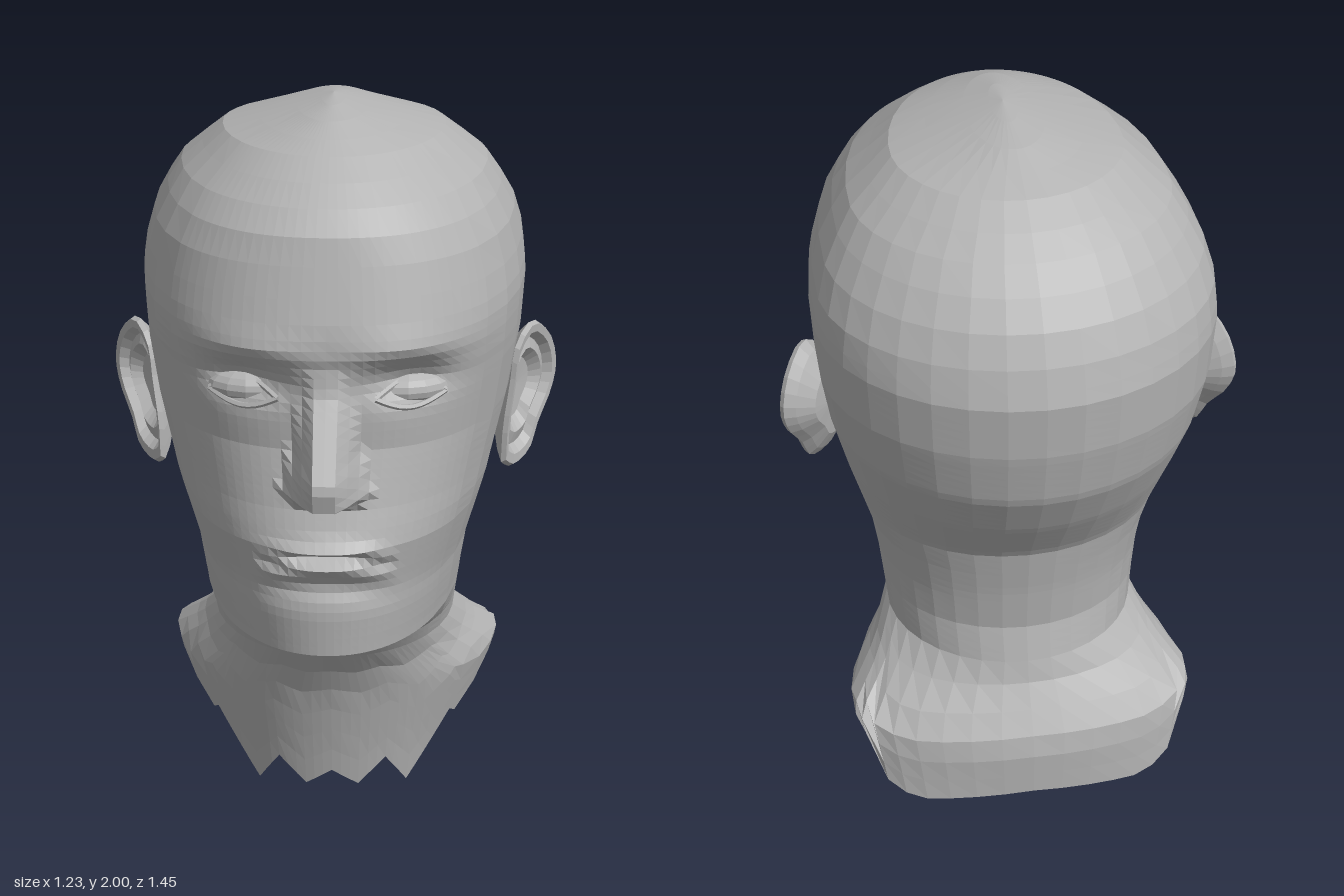
import * as THREE from 'three';

// Piecewise-linear profile over [key, value] pairs in ascending order of key
const profile = (...pts) => (k) => {
  if (k <= pts[0][0]) return pts[0][1];
  for (let i = 1; i < pts.length; i++) {
    const [k0, v0] = pts[i - 1], [k1, v1] = pts[i];
    if (k <= k1) return v0 + ((v1 - v0) * (k - k0)) / (k1 - k0);
  }
  return pts[pts.length - 1][1];
};

// Head silhouettes as functions of height
const front = profile([0, 0.1], [0.15, 0.127], [0.335, 0.17], [0.44, 0.22], [0.55, 0.32], [0.6, 0.45], [0.65, 0.59],
  [0.76, 0.597], [0.83, 0.592], [0.95, 0.605], [1.05, 0.57], [1.2, 0.53], [1.36, 0.535], [1.45, 0.555], [1.52, 0.55],
  [1.77, 0.475], [1.87, 0.355], [1.93, 0.26], [1.97, 0.16], [1.99, 0.06], [2, -0.05]);
const back = profile([0.1, -0.58], [0.285, -0.585], [0.44, -0.49], [0.6, -0.45], [0.735, -0.465], [0.88, -0.49],
  [1.04, -0.6], [1.185, -0.68], [1.345, -0.715], [1.5, -0.725], [1.65, -0.68], [1.775, -0.585], [1.9, -0.43],
  [1.97, -0.255], [1.99, -0.15], [2, -0.05]);
const width = profile([0, 0.41], [0.15, 0.44], [0.335, 0.475], [0.42, 0.39], [0.5, 0.34], [0.68, 0.36], [0.8, 0.38],
  [1, 0.44], [1.2, 0.49], [1.35, 0.515], [1.5, 0.525], [1.58, 0.52], [1.7, 0.485], [1.81, 0.415], [1.91, 0.3],
  [1.97, 0.1], [2, 0]);
const widestZ = profile([0.1, -0.45], [0.335, -0.38], [0.5, -0.14], [0.7, -0.12], [1, -0.15], [1.35, -0.24],
  [1.6, -0.25], [1.85, -0.15], [2, -0.05]);
const fullness = profile([0.5, 2], [0.7, 2.1], [1.1, 2.3], [1.4, 2.5], [1.7, 2.4], [1.9, 2]);

// Nose ridge depth and half width by height
const noseZ = profile([1.05, 0.57], [1.075, 0.635], [1.1, 0.715], [1.165, 0.73], [1.355, 0.56], [1.42, 0.55]);
const noseW = profile([1.05, 0.1], [1.1, 0.12], [1.2, 0.09], [1.32, 0.068], [1.42, 0.07]);

// Ragged lower edge of the neck by angle from the front
const cut = profile([0, 0.07], [0.18, 0.02], [0.36, 0.1], [0.54, 0], [0.84, 0.19], [0.95, 0.16], [1.2, 0.29],
  [1.8, 0.32], [1.95, 0.16], [2.3, 0.1], [3.15, 0.12]);

const bump = (d, s) => Math.exp(-((d / s) ** 2));

// Relief of the face added to the plain skull
function faceRelief(x, y) {
  const ax = Math.abs(x);
  let d = 0;
  if (y > 1.05 && y < 1.42) {
    const w = noseW(y);
    d += Math.max(0, noseZ(y) - front(y)) * THREE.MathUtils.clamp((w - ax) / (w - 0.035), 0, 1);
  }
  d -= 0.06 * bump(ax - 0.21, 0.1) * bump(y - 1.38, 0.05);
  d += 0.015 * bump(ax - 0.2, 0.14) * bump(y - 1.475, 0.03);
  const lip = Math.max(0, 1 - (x / 0.19) ** 2), m = y + 0.9 * x * x;
  d += lip * (0.022 * bump(m - 0.953, 0.018) - 0.03 * bump(m - 0.925, 0.012)
    + 0.02 * bump(m - 0.897, 0.018) - 0.016 * bump(m - 0.84, 0.03));
  return d;
}

// Depth of the front surface at a given x and y
function frontZ(x, y) {
  const s = Math.min(1, Math.abs(x) / Math.max(width(y), 1e-6));
  const n = fullness(y), c = widestZ(y);
  return c + (front(y) - c) * (1 - s ** n) ** (1 / n) + faceRelief(x, y);
}

function headPoint(phi, y) {
  const a = Math.abs(phi), x = width(y) * Math.sin(phi);
  if (a < Math.PI / 2) return [x, y, frontZ(x, y)];
  const c = widestZ(y);
  return [x, y, c + (c - back(y)) * Math.cos(a)];
}

// Skin a list of closed rings that have equal point counts
function skin(rings) {
  const n = rings[0].length, index = [];
  for (let i = 0; i < rings.length - 1; i++) {
    for (let j = 0; j < n; j++) {
      const k = (j + 1) % n, a = i * n, b = a + n;
      index.push(a + j, b + j, b + k, a + j, b + k, a + k);
    }
  }
  const g = new THREE.BufferGeometry();
  g.setAttribute('position', new THREE.Float32BufferAttribute(rings.flat(2), 3));
  g.setIndex(index);
  g.computeVertexNormals();
  return g;
}

function headGeometry() {
  // Fine columns over the face, coarse ones around the back
  const half = [];
  for (let i = 0; i <= 15; i++) half.push(i * 0.06);
  for (let i = 1; i <= 12; i++) half.push(0.9 + ((Math.PI - 0.9) * i) / 12);
  const phis = [...half, ...half.slice(1, -1).reverse().map((p) => -p)];
  const rows = [2, 1.99, 1.97, 1.94, 1.91, 1.86, 1.81, 1.75, 1.68, 1.6, 1.54];
  for (let i = 0; i <= 40; i++) rows.push(1.5 - i * 0.025);
  const rings = rows.map((y) => phis.map((p) => headPoint(p, y)));
  // Neck rows spread down to the ragged edge
  for (let i = 1; i <= 6; i++) {
    rings.push(phis.map((p) => headPoint(p, THREE.MathUtils.lerp(0.5, cut(Math.abs(p)), i / 6))));
  }
  return skin(rings);
}

function earGeometry(side) {
  // Outline as (z, y), swept through rings from the back over the rim into the hollow
  const outline = new THREE.SplineCurve([
    [0.02, 0.98], [0.015, 1.08], [-0.01, 1.2], [-0.03, 1.3], [-0.095, 1.355], [-0.165, 1.3], [-0.195, 1.21],
    [-0.175, 1.13], [-0.12, 1.05], [-0.085, 0.98], [-0.02, 0.955], [0.02, 0.98],
  ].map(([z, y]) => new THREE.Vector2(z, y))).getPoints(26).slice(0, -1);
  const cz = -0.075, cy = 1.17;
  const steps = [[0, -0.07], [0.55, -0.06], [0.85, -0.025], [1, 0], [0.96, 0.014], [0.84, 0.012], [0.74, -0.012],
    [0.58, -0.002], [0.42, -0.03], [0, -0.035]];
  const rings = steps.map(([s, off]) => {
    const ring = outline.map((p) => {
      const z = cz + (p.x - cz) * s, y = cy + (p.y - cy) * s;
      return [side * (0.47 + (0.01 - z) * 0.68 + off * 0.82), y, z + off * 0.57];
    });
    return side > 0 ? ring : ring.reverse();
  });
  return skin(rings);
}

export function createModel() {
  const model = new THREE.Group();
  model.name = 'headBust';
  const skinMat = new THREE.MeshStandardMaterial({ color: 0xb3b3b3, flatShading: true, side: THREE.DoubleSide });
  skinMat.name = 'plainGrey';
  const add = (name, geometry) => {
    const m = new THREE.Mesh(geometry, skinMat);
    m.name = name;
    model.add(m);
    return m;
  };

  add('headAndNeck', headGeometry());

  for (const side of [1, -1]) {
    const label = side > 0 ? 'left' : 'right';
    add(label + 'Ear', earGeometry(side));

    // Eyeball set into the socket
    const eye = add(label + 'Eye', new THREE.SphereGeometry(1, 14, 10));
    eye.scale.set(0.115, 0.05, 0.08);
    eye.position.set(side * 0.21, 1.34, frontZ(0.21, 1.34) - 0.062);
    eye.rotation.y = side * 0.3;

    // Upper and lower lids follow the socket surface
    for (const [lid, rise] of [['Upper', 0.036], ['Lower', -0.028]]) {
      const pts = [];
      for (let i = 0; i <= 6; i++) {
        const t = i / 6, x = 0.125 + 0.18 * t, y = 1.335 + rise * Math.sin(Math.PI * t);
        pts.push(new THREE.Vector3(side * x, y, frontZ(x, y) + 0.003));
      }
      add(label + lid + 'Lid', new THREE.TubeGeometry(new THREE.CatmullRomCurve3(pts), 10, 0.008, 5));
    }
  }
  return model;
}
